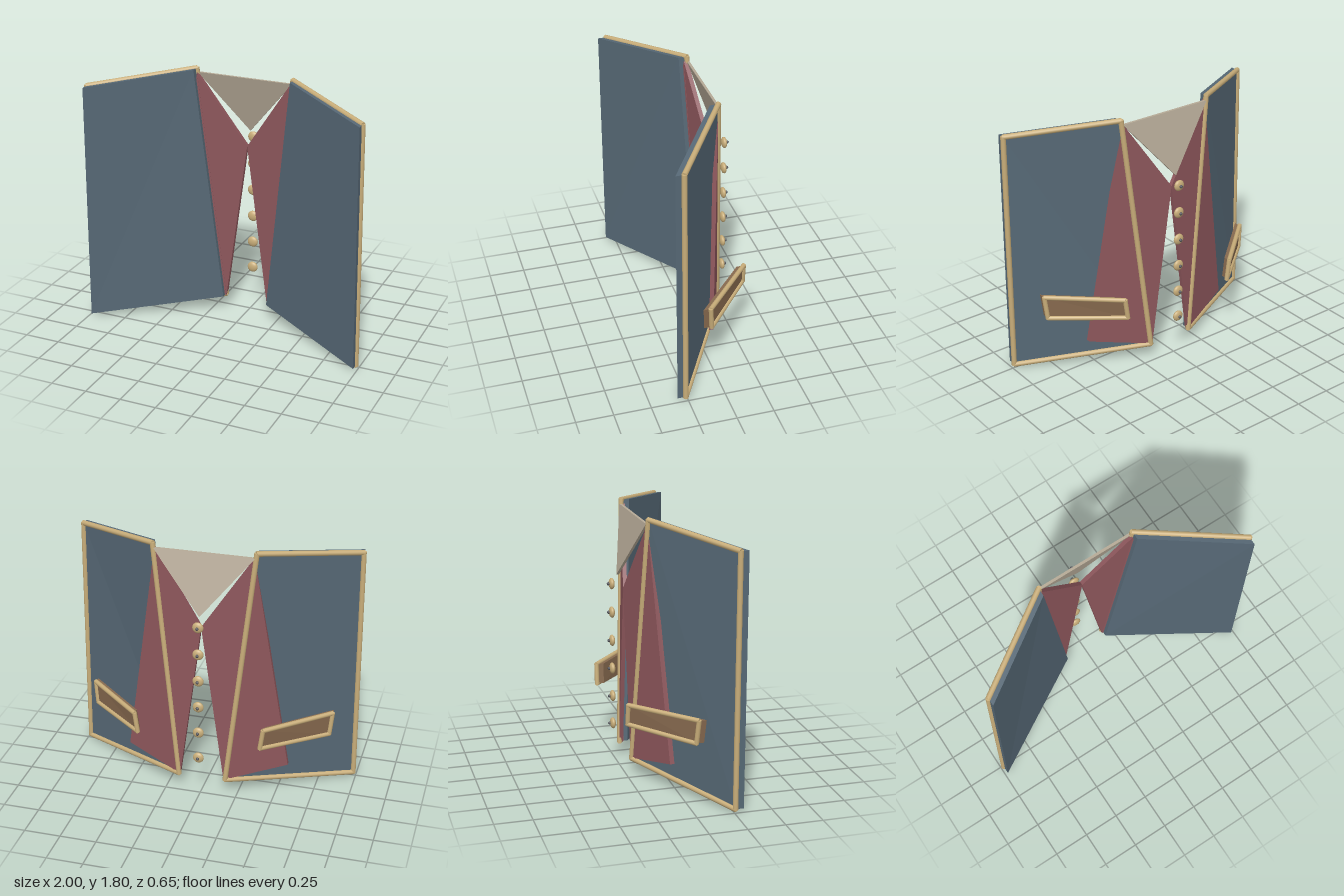
import * as THREE from 'three';

const paint = (name, color) => {
  const m = new THREE.MeshStandardMaterial({ color });
  m.name = name;
  return m;
};
const blue = paint('slate blue cloth', 0x566875);
const red = paint('dusty red lining', 0x8e575c);
const grey = paint('grey beige cloth', 0xb5a996);
const brown = paint('brown pocket', 0x86694e);
const gold = paint('gold trim', 0xc8ad79);
const dark = paint('dark stud', 0x55565c);

// Flat polygon (counter-clockwise from the front) thickened towards +z
function slab(name, points, depth, material) {
  const back = points.map((p) => new THREE.Vector3(...p));
  const front = back.map((p) => p.clone().setZ(p.z + depth));
  const pos = [];
  const tri = (...vs) => vs.forEach((v) => pos.push(v.x, v.y, v.z));
  const n = points.length;
  for (let i = 1; i < n - 1; i++) {
    tri(front[0], front[i], front[i + 1]);
    tri(back[0], back[i + 1], back[i]);
  }
  for (let i = 0; i < n; i++) {
    const j = (i + 1) % n;
    tri(back[i], back[j], front[j]);
    tri(back[i], front[j], front[i]);
  }
  const geo = new THREE.BufferGeometry();
  geo.setAttribute('position', new THREE.Float32BufferAttribute(pos, 3));
  geo.computeVertexNormals();
  const mesh = new THREE.Mesh(geo, material);
  mesh.name = name;
  return mesh;
}

// Closed loop of round piping through the corners
function piping(name, points, radius) {
  const group = new THREE.Group();
  group.name = name;
  points.forEach((p, i) => {
    const a = new THREE.Vector3(...p);
    const b = new THREE.Vector3(...points[(i + 1) % points.length]);
    const dir = b.clone().sub(a);
    const rod = new THREE.Mesh(new THREE.CylinderGeometry(radius, radius, dir.length() + radius * 0.5, 12), gold);
    rod.position.copy(a).add(b).multiplyScalar(0.5);
    rod.quaternion.setFromUnitVectors(new THREE.Vector3(0, 1, 0), dir.normalize());
    rod.name = name + 'Rod';
    group.add(rod);
  });
  return group;
}

// One half of the waistcoat; s = 1 for left, -1 for right
function half(s) {
  const side = s > 0 ? 'left' : 'right';
  const group = new THREE.Group();
  group.name = side + 'Half';
  const flip = (pts) => {
    const out = pts.map(([x, y, z]) => [x * s, y, z]);
    return s > 0 ? out : out.reverse();
  };

  // Body panel with piping around its edge
  const body = flip([[0.165, 0.105, -0.205], [0.98, 0.02, 0.262], [0.968, 1.7, 0.27], [0.347, 1.787, -0.135]]);
  group.add(slab(side + 'Panel', body, 0.056, blue));
  group.add(piping(side + 'PanelPiping', body, 0.018));

  // Lapel: one leaf towards the centre, one folded over the panel
  const top = [0.335, 1.76, -0.14];
  const foot = [0.155, 0.105, -0.21];
  group.add(slab(side + 'Lapel', flip([top, [0, 1.26, -0.215], foot]), 0.028, red));
  group.add(slab(side + 'LapelFold', flip([top, foot, [0.57, 0.2, -0.052]]), 0.03, red));

  // Pocket flap with piping
  const pocket = flip([[0.428, 0.455, -0.3], [0.832, 0.435, 0.045], [0.848, 0.592, 0.056], [0.447, 0.592, -0.298]]);
  group.add(slab(side + 'Pocket', pocket, 0.05, brown));
  group.add(piping(side + 'PocketPiping', pocket, 0.016));
  return group;
}

export function createModel() {
  const model = new THREE.Group();
  model.name = 'waistcoat';
  model.add(half(1), half(-1));

  // Neck piece
  model.add(slab('collar', [[-0.34, 1.76, -0.15], [0, 1.355, -0.26], [0.34, 1.76, -0.15]], 0.018, grey));

  // Row of domed buttons with small studs
  const dome = new THREE.SphereGeometry(0.038, 20, 12);
  const bead = new THREE.SphereGeometry(0.011, 10, 8);
  for (let i = 0; i < 6; i++) {
    const button = new THREE.Group();
    button.name = 'button' + (i + 1);
    const disc = new THREE.Mesh(dome, gold);
    disc.name = 'buttonDisc';
    disc.scale.z = 0.5;
    const stud = new THREE.Mesh(bead, dark);
    stud.name = 'buttonStud';
    stud.position.z = -0.022;
    button.add(disc, stud);
    button.position.set(0, 0.31 + i * 0.197, -0.293);
    model.add(button);
  }
  return model;
}
